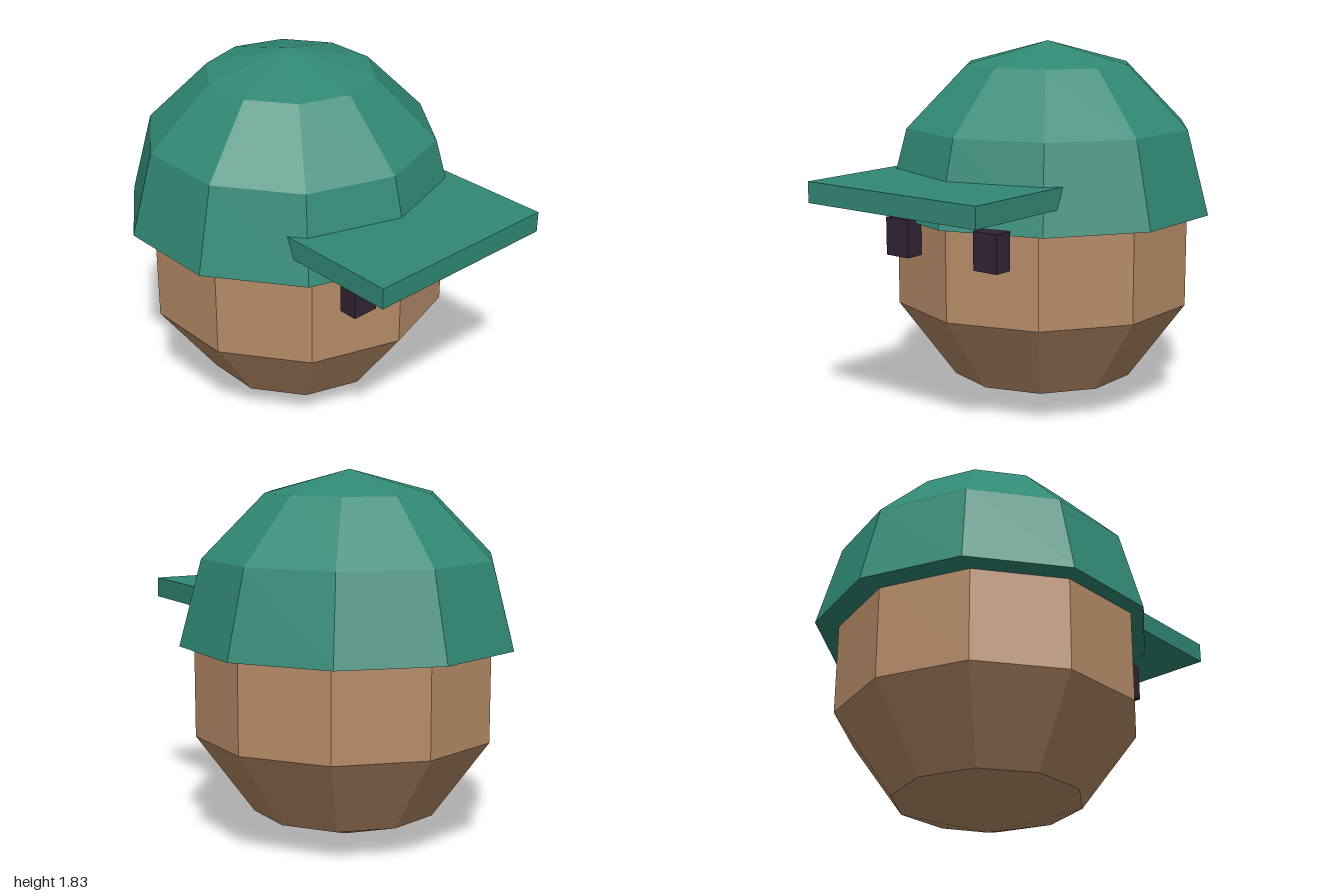
import * as THREE from 'three';

const mat = (name, color) => {
  const m = new THREE.MeshStandardMaterial({ color, flatShading: true });
  m.name = name;
  return m;
};

export function createModel() {
  const green = mat('cap green', 0x318975);
  const brown = mat('skin brown', 0xb78c68);
  const dark = mat('eye dark', 0x322434);

  const model = new THREE.Group();
  model.name = 'cappedHead';

  const add = (name, geometry, material, x, y, z) => {
    const mesh = new THREE.Mesh(geometry, material);
    mesh.name = name;
    mesh.position.set(x, y, z);
    model.add(mesh);
    return mesh;
  };

  // Low-poly head, with a corner pointing forward
  const headGeo = new THREE.SphereGeometry(0.786, 10, 5).rotateY(Math.PI / 2);
  add('head', headGeo, brown, 0, 0.786, -0.128);

  // Cap: half dome closed by a flat underside
  const R = 0.835, capY = 0.997, capZ = -0.165;
  const domeGeo = new THREE.SphereGeometry(R, 10, 3, 0, Math.PI * 2, 0, Math.PI / 2).rotateY(Math.PI / 2);
  add('capDome', domeGeo, green, 0, capY, capZ);
  const undersideGeo = new THREE.CircleGeometry(R, 10).rotateZ(Math.PI / 2).rotateX(Math.PI / 2);
  add('capUnderside', undersideGeo, green, 0, capY, capZ);

  // Visor, sunk into the front of the cap
  add('visor', new THREE.BoxGeometry(1.02, 0.102, 0.9), green, 0, 1.168, 0.55);

  // Eyes
  for (const side of [-1, 1]) {
    add(side > 0 ? 'leftEye' : 'rightEye', new THREE.BoxGeometry(0.138, 0.185, 0.096), dark, side * 0.273, 0.927, 0.612);
  }

  return model;
}
